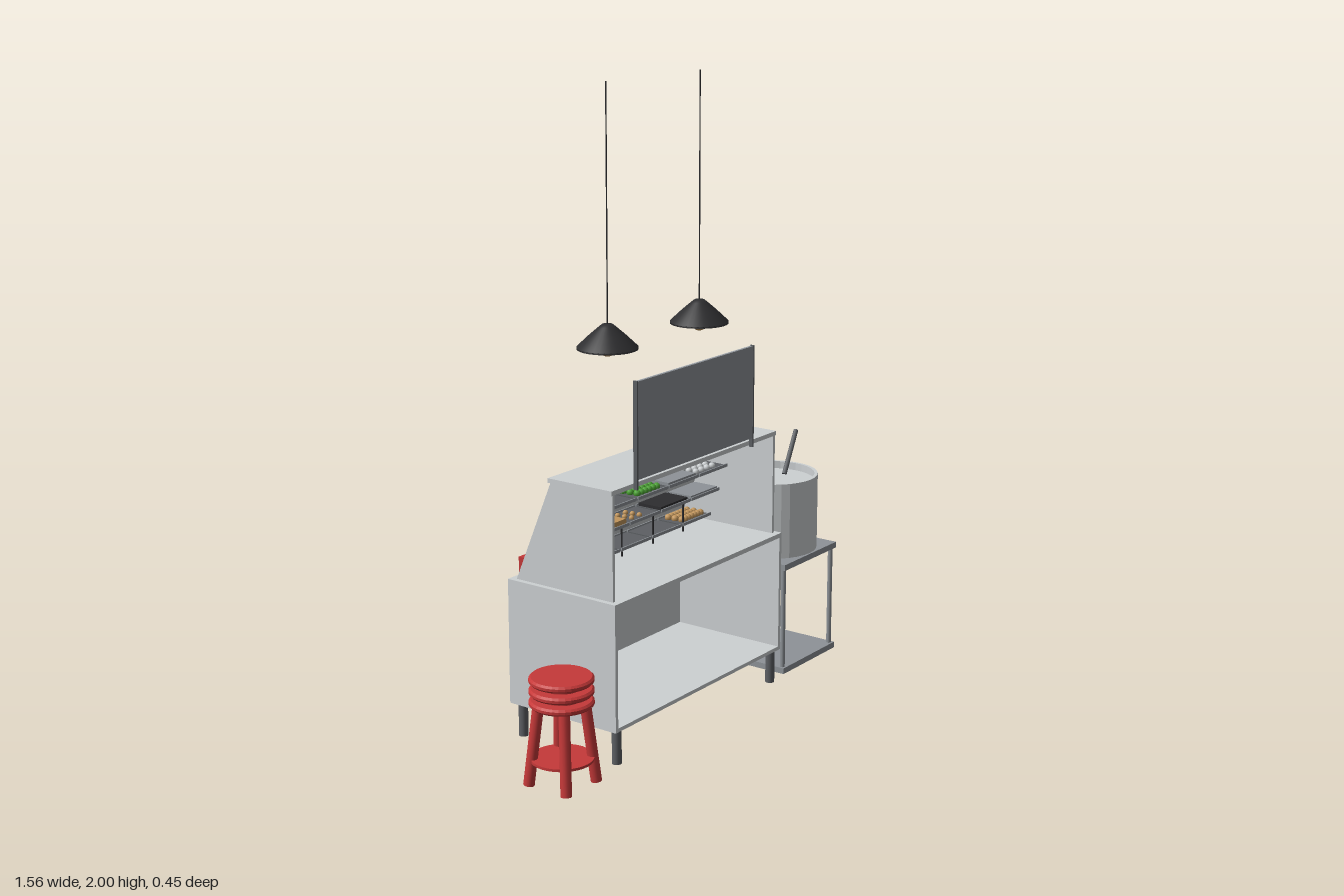
import * as THREE from 'three';

const mat = (name, color, side = THREE.FrontSide) => {
  const m = new THREE.MeshStandardMaterial({ color, side });
  m.name = name;
  return m;
};
const M = {
  light: mat('brushed steel', 0xcdd1d3, THREE.DoubleSide),
  steel: mat('mid grey steel', 0x8e9398),
  dark: mat('dark steel', 0x5d6064),
  black: mat('black', 0x2e2e30, THREE.DoubleSide),
  red: mat('red', 0xc63939),
  green: mat('leaf green', 0x4aa232),
  tan: mat('tan', 0xc2965c),
};

function add(parent, name, geo, material, x = 0, y = 0, z = 0) {
  const m = new THREE.Mesh(geo, material);
  m.name = name;
  m.position.set(x, y, z);
  parent.add(m);
  return m;
}
// box given by its min and max corners
function box(parent, name, material, x0, x1, y0, y1, z0, z1) {
  return add(parent, name, new THREE.BoxGeometry(x1 - x0, y1 - y0, z1 - z0), material,
    (x0 + x1) / 2, (y0 + y1) / 2, (z0 + z1) / 2);
}
// round bar between two points
function rod(parent, name, material, a, b, r, r2 = r) {
  const p = new THREE.Vector3(...a), q = new THREE.Vector3(...b);
  const d = q.clone().sub(p);
  const m = add(parent, name, new THREE.CylinderGeometry(r2, r, d.length(), 12), material);
  m.position.copy(p).add(q).multiplyScalar(0.5);
  m.quaternion.setFromUnitVectors(new THREE.Vector3(0, 1, 0), d.normalize());
  return m;
}
function group(parent, name) {
  const g = new THREE.Group();
  g.name = name;
  parent.add(g);
  return g;
}
// turned part with faceted sides
function faceted(points, segments) {
  const geo = new THREE.LatheGeometry(points.map(p => new THREE.Vector2(...p)), segments).toNonIndexed();
  geo.computeVertexNormals();
  return geo;
}

function buildCounter(root) {
  const g = group(root, 'counter');
  // lower cabinet, open to the front
  box(g, 'cabinetFloor', M.light, -0.507, 0.374, 0.11, 0.122, -0.224, 0.186);
  box(g, 'cabinetBack', M.light, -0.507, 0.374, 0.122, 0.495, -0.224, -0.212);
  box(g, 'cabinetSide', M.light, -0.507, -0.495, 0.122, 0.495, -0.212, 0.186);
  box(g, 'cabinetSide', M.light, 0.362, 0.374, 0.122, 0.495, -0.212, 0.186);
  box(g, 'worktop', M.light, -0.507, 0.374, 0.495, 0.51, -0.224, 0.186);
  for (const y of [0.43, 0.355, 0.28, 0.205])
    box(g, 'backSlat', M.dark, -0.466, 0.334, y, y + 0.005, -0.227, -0.223);
  for (const x of [-0.476, 0.347])
    for (const z of [-0.198, 0.165]) rod(g, 'leg', M.dark, [x, 0, z], [x, 0.11, z], 0.015);

  // upper hood: sloped sides, sloped back pane and roof
  const side = new THREE.Shape([[-0.165, 0.51], [0.203, 0.51], [0.065, 0.838], [-0.165, 0.838]]
    .map(p => new THREE.Vector2(...p)));
  const sideGeo = new THREE.ExtrudeGeometry(side, { depth: 0.01, bevelEnabled: false });
  for (const x of [-0.49, 0.35]) add(g, 'hoodSide', sideGeo, M.light, x).rotation.y = Math.PI / 2;
  const pane = add(g, 'backPane', new THREE.BoxGeometry(0.83, 0.353, 0.005), M.light, -0.065, 0.675, -0.1305);
  pane.rotation.x = Math.atan2(0.138, 0.328);
  box(g, 'roof', M.light, -0.496, 0.364, 0.836, 0.85, -0.072, 0.167);
}

function buildSign(root) {
  const g = group(root, 'signBoard');
  box(g, 'board', M.steel, -0.395, 0.198, 0.865, 1.16, 0.178, 0.187);
  box(g, 'boardBack', M.light, -0.395, 0.198, 0.865, 1.16, 0.175, 0.178);
  for (const x of [-0.401, 0.198]) box(g, 'signPost', M.dark, x, x + 0.006, 0.835, 1.162, 0.174, 0.188);
  // red dots on the back
  const dot = new THREE.CylinderGeometry(0.008, 0.008, 0.002, 10).rotateX(Math.PI / 2);
  for (const x of [0.1, 0.068, 0.036, 0.004, -0.028, -0.06])
    for (const y of [1.015, 1.04]) add(g, 'boardDot', dot, M.red, x, y, 0.1745);
}

// a heap of small pieces spread over a tray
function heap(parent, name, material, x, y, z, n, r) {
  const geo = new THREE.SphereGeometry(r, 10, 7);
  for (let i = 0; i < n; i++)
    for (const row of [-1, 0, 1])
      add(parent, name, geo, material, x + (i - (n - 1) / 2) * 0.12 / n + row * 0.003, y + r * 0.6, z + row * 0.025);
}

function buildShelves(root) {
  const g = group(root, 'foodShelves');
  const rows = [[0.715, -0.05], [0.63, -0.08], [0.538, -0.115]];
  const at = i => -0.4 + i * 0.163;
  for (const [y, z] of rows)
    for (let i = 0; i < 5; i++) {
      const x = at(i);
      box(g, 'tray', M.dark, x - 0.077, x + 0.077, y - 0.004, y + 0.002, z - 0.05, z + 0.05);
      for (const s of [-1, 1])
        box(g, 'trayRim', M.steel, x - 0.077, x + 0.077, y - 0.003, y + 0.007, z + s * 0.05 - 0.002, z + s * 0.05 + 0.002);
    }
  for (let i = 0; i < 5; i++) {
    const x = -0.455 + i * 0.163;
    rod(g, 'shelfPost', M.black, [x, 0.455, -0.08], [x, 0.63, -0.08], 0.003);
  }
  // food on the trays
  const slab = (r, i, m, h) => {
    const [y, z] = rows[r];
    box(g, 'foodSlab', m, at(i) - 0.072, at(i) + 0.072, y + 0.002, y + h, z - 0.044, z + 0.044);
  };
  const bits = (r, i, m, n, rad, dx = 0) => heap(g, 'foodPiece', m, at(i) + dx, rows[r][0], rows[r][1], n, rad);
  slab(0, 0, M.green, 0.016);
  bits(0, 2, M.green, 6, 0.012);
  slab(0, 3, M.steel, 0.012);
  bits(0, 4, M.light, 4, 0.011, -0.02);
  slab(1, 0, M.green, 0.016);
  slab(1, 1, M.tan, 0.02);
  bits(1, 2, M.tan, 3, 0.009, -0.04);
  slab(1, 3, M.black, 0.012);
  slab(1, 4, M.steel, 0.01);
  slab(2, 0, M.red, 0.032);
  bits(2, 4, M.tan, 7, 0.012);
}

function buildLedgeItems(root) {
  const g = group(root, 'ledgeItems');
  box(g, 'redBox', M.red, -0.467, -0.327, 0.51, 0.572, -0.214, -0.14);
  // chopsticks resting on small supports
  for (const z of [-0.212, -0.188]) rod(g, 'chopstick', M.red, [-0.327, 0.515, z], [-0.185, 0.514, z], 0.003);
  for (const x of [-0.296, -0.271])
    add(g, 'chopstickRest', new THREE.CylinderGeometry(0.008, 0.008, 0.012, 12), M.steel, x, 0.516, -0.211);
  box(g, 'cutleryTray', M.steel, 0.18, 0.333, 0.51, 0.53, -0.207, -0.19);
  box(g, 'cutleryBox', M.black, 0.204, 0.288, 0.51, 0.54, -0.218, -0.207);
  for (let i = 0; i < 4; i++)
    box(g, 'cutleryTag', M.light, 0.214 + i * 0.018, 0.223 + i * 0.018, 0.519, 0.529, -0.22, -0.217);
}

function buildLamp(root, x, z) {
  const g = group(root, 'pendantLamp');
  g.position.set(x, 0, z);
  const profile = [[0, 1.284], [0.016, 1.283], [0.026, 1.275], [0.055, 1.25], [0.093, 1.214], [0.093, 1.208],
    [0.052, 1.242], [0.02, 1.268], [0, 1.27]].map(p => new THREE.Vector2(...p));
  add(g, 'lampShade', new THREE.LatheGeometry(profile, 32), M.black);
  rod(g, 'lampCord', M.black, [0, 1.28, 0], [0, 2, 0], 0.002);
  rod(g, 'bulbSocket', M.dark, [0, 1.215, 0], [0, 1.272, 0], 0.014);
  add(g, 'bulb', new THREE.SphereGeometry(0.026, 18, 12), M.tan, 0, 1.21, 0);
}

function buildPotStand(root) {
  const g = group(root, 'potStand');
  g.position.set(0.586, 0, 0.008);
  for (const y of [0, 0.36]) box(g, 'standPlate', M.steel, -0.158, 0.158, y, y + 0.02, -0.158, 0.158);
  for (const x of [-0.144, 0.144])
    for (const z of [-0.144, 0.144]) rod(g, 'standPost', M.steel, [x, 0.02, z], [x, 0.36, z], 0.008);
  // stock pot with a thick rim, filled close to the top
  add(g, 'potWall', faceted([[0, 0.38], [0.152, 0.38], [0.152, 0.635], [0.141, 0.635], [0.141, 0.6]], 32), M.light);
  add(g, 'potContents', new THREE.CylinderGeometry(0.141, 0.141, 0.01, 32), M.light, 0, 0.605, 0);
  rod(g, 'ladleHandle', M.dark, [0.077, 0.61, -0.003], [0.188, 0.737, -0.03], 0.008);
}

function buildStool(root) {
  const g = group(root, 'stool');
  g.position.set(-0.684, 0, 0.126);
  const discGeo = faceted([[0, -0.01], [0.09, -0.01], [0.096, -0.004], [0.096, 0.004], [0.09, 0.01], [0, 0.01]], 32);
  for (const y of [0.255, 0.29, 0.325]) add(g, 'seatDisc', discGeo, M.red, 0, y, 0);
  add(g, 'seatCore', new THREE.CylinderGeometry(0.06, 0.06, 0.07, 28), M.red, 0, 0.29, 0);
  add(g, 'footPlate', new THREE.CylinderGeometry(0.094, 0.094, 0.008, 32), M.red, 0, 0.08, 0);
  for (const x of [-1, 1])
    for (const z of [-1, 1])
      rod(g, 'stoolLeg', M.red, [x * 0.07, 0.002, z * 0.07], [x * 0.048, 0.25, z * 0.048], 0.017);
}

export function createModel() {
  const root = new THREE.Group();
  root.name = 'foodStall';
  buildCounter(root);
  buildSign(root);
  buildShelves(root);
  buildLedgeItems(root);
  buildLamp(root, -0.271, -0.02);
  buildLamp(root, 0.199, -0.02);
  buildPotStand(root);
  buildStool(root);
  return root;
}
